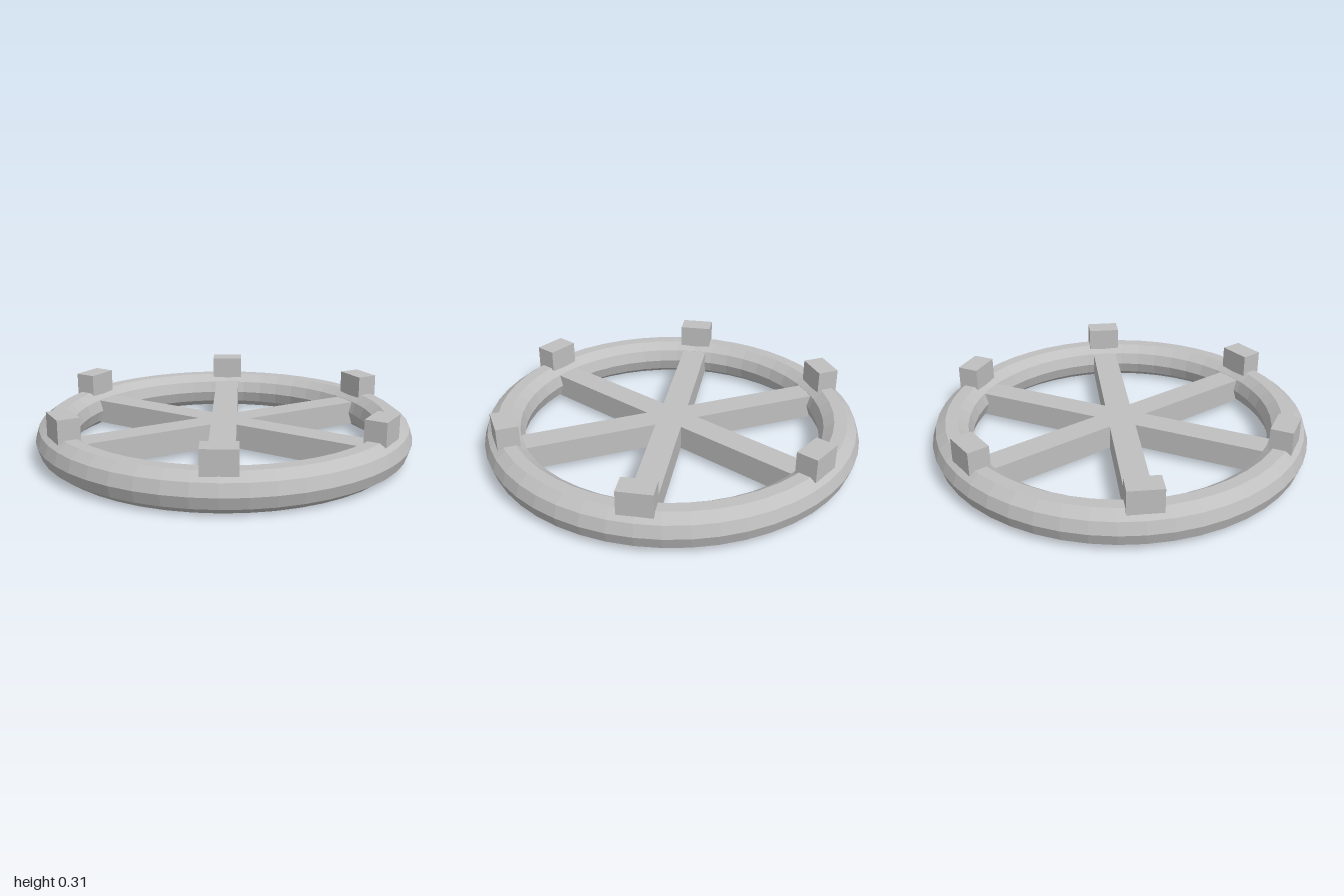
import * as THREE from 'three';

export function createModel() {
  const model = new THREE.Group();
  const grey = new THREE.MeshStandardMaterial({ color: 0xbfbfbf });
  grey.name = 'grey';

  function add(name, geometry, parent = model) {
    const mesh = new THREE.Mesh(geometry, grey);
    mesh.name = name;
    parent.add(mesh);
    return mesh;
  }

  // Faceted rim: ten-sided tube resting on the ground
  const TUBE = 0.105, RADIUS = 0.895;
  const rimGeometry = new THREE.TorusGeometry(RADIUS, TUBE, 10, 48)
    .rotateX(Math.PI / 2)
    .toNonIndexed();
  rimGeometry.computeVertexNormals();
  add('rim', rimGeometry).position.y = 0.1;

  // Six spokes as one extruded star, so the hub is seamless
  const WIDTH = 0.137, REACH = 0.81, BOTTOM = 0.03, HEIGHT = 0.13;
  const points = [];
  for (let i = 0; i < 6; i++) {
    const a = (i * Math.PI) / 3;
    const at = (r, side) => new THREE.Vector2(
      r * Math.cos(a) - side * Math.sin(a),
      r * Math.sin(a) + side * Math.cos(a)
    );
    const notch = a + Math.PI / 6;
    points.push(
      at(REACH, -WIDTH / 2),
      at(REACH, WIDTH / 2),
      new THREE.Vector2(WIDTH * Math.cos(notch), WIDTH * Math.sin(notch))
    );
  }
  const spokeGeometry = new THREE.ExtrudeGeometry(new THREE.Shape(points), {
    depth: HEIGHT, bevelEnabled: false,
  }).rotateX(-Math.PI / 2);
  add('spokes', spokeGeometry).position.y = BOTTOM;

  // Six blocks on top of the rim, one above each spoke end
  const blocks = new THREE.Group();
  blocks.name = 'blocks';
  model.add(blocks);
  const blockGeometry = new THREE.BoxGeometry(0.115, 0.125, 0.175);
  for (let i = 0; i < 6; i++) {
    const a = (i * Math.PI) / 3;
    const block = add('block', blockGeometry, blocks);
    block.position.set(RADIUS * Math.cos(a), 0.243, -RADIUS * Math.sin(a));
    block.rotation.y = a;
  }

  return model;
}
